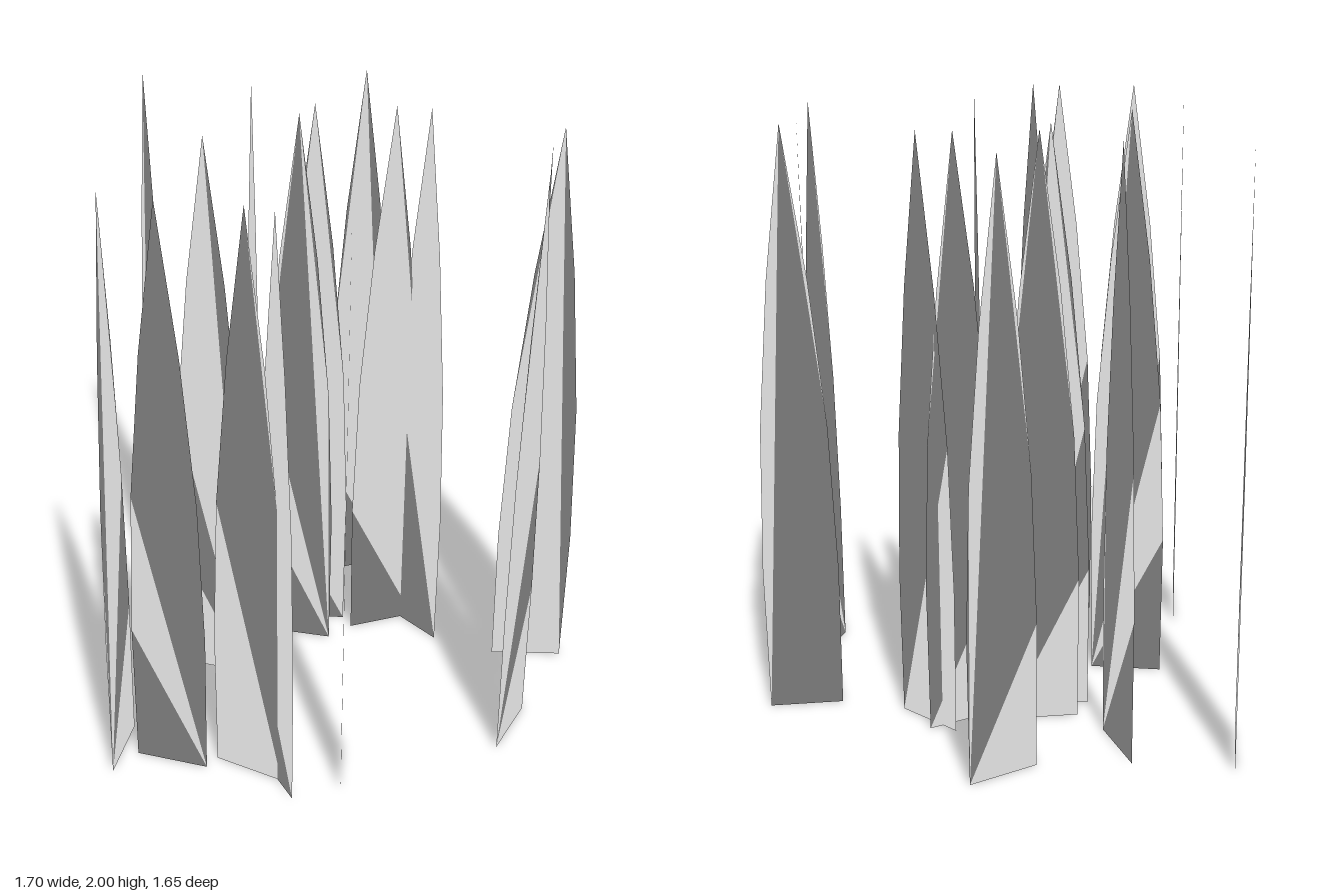
import * as THREE from 'three';

// Half-width of a blade at each height, tapering to a point at the tip
const PROFILE = [[0.122, 0], [0.126, 0.5], [0.109, 1], [0.065, 1.5]];
const HEIGHT = 2;

// Each blade: x, z of its centre, then the x and z direction of its width
const BLADES = [
  [-0.77, 0, 0.077, 0.1],
  [0.09, 0.735, 0.08, 0.097],
  [-0.46, -0.23, 0.112, 0.055],
  [-0.11, 0.22, 0.102, -0.074],
  [0.24, 0.64, 0.103, -0.072],
  [-0.09, -0.145, 0.097, -0.079],
  [-0.14, -0.25, 0.081, -0.097],
  [-0.315, -0.615, 0.035, -0.121],
  [0.435, 0.465, 0.115, -0.05],
  [0.52, 0.42, 0.123, 0.025],
  [0.04, -0.445, 0.04, -0.12],
  [0.125, -0.52, 0.126, -0.005],
  [0.61, 0.215, 0.097, 0.081],
  [0.52, -0.725, 0.081, -0.097],
  [0.8, -0.375, 0.052, 0.112],
  [0.6, -0.59, 0.097, 0.081],
];

// Flat pointed outline, mirrored about its centre line
function bladeGeometry() {
  const right = PROFILE.map(([w, y]) => new THREE.Vector2(w, y));
  const left = PROFILE.map(([w, y]) => new THREE.Vector2(-w, y)).reverse();
  const tip = new THREE.Vector2(0, HEIGHT);
  const geometry = new THREE.ShapeGeometry(new THREE.Shape([...right, tip, ...left]));

  // Normals point straight up, so all blades are lit evenly like the ground
  const normal = geometry.attributes.normal;
  for (let i = 0; i < normal.count; i++) normal.setXYZ(i, 0, 1, 0);
  return geometry;
}

export function createModel() {
  const group = new THREE.Group();
  group.name = 'grassPatch';
  const material = new THREE.MeshStandardMaterial({ color: 0xcccccc, side: THREE.DoubleSide });
  const geometry = bladeGeometry();

  // Upright blades scattered over the patch, each turned its own way
  BLADES.forEach(([x, z, dx, dz], i) => {
    const blade = new THREE.Mesh(geometry, material);
    blade.name = `grassBlade${i + 1}`;
    blade.position.set(x, 0, z);
    blade.rotation.y = Math.atan2(-dz, dx);
    group.add(blade);
  });
  return group;
}
